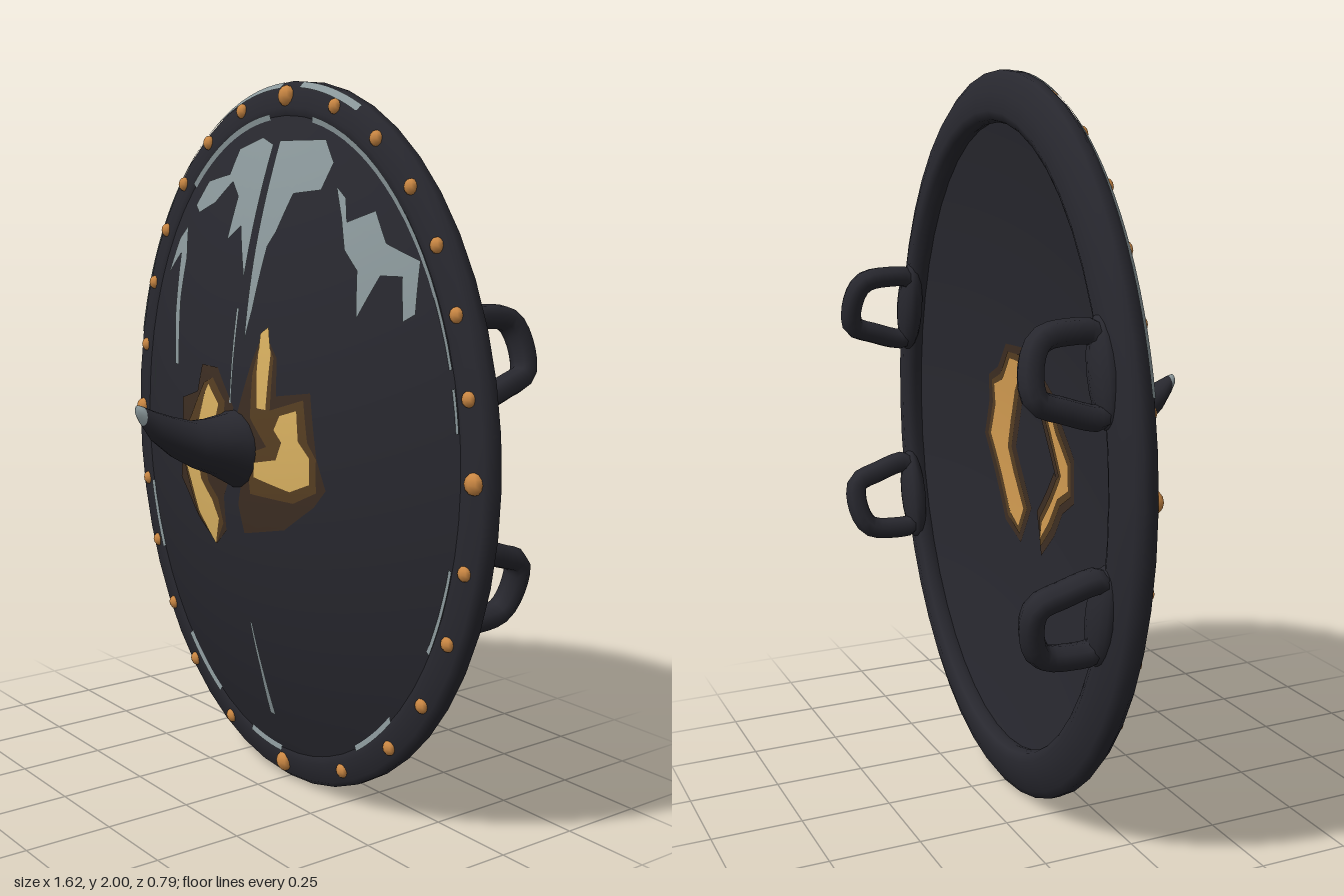
import * as THREE from 'three';
import { mergeVertices } from 'three/addons/utils/BufferGeometryUtils.js';
import { ParametricGeometry } from 'three/addons/geometries/ParametricGeometry.js';

const mat = (name, color, side = THREE.FrontSide) =>
  Object.assign(new THREE.MeshStandardMaterial({ color, side }), { name });

export function createModel() {
  const group = new THREE.Group();
  const iron = mat('dark iron', 0x28282f);
  const sheen = mat('pale steel', 0x8a979a, THREE.DoubleSide);
  const gold = mat('gold', 0xd8b060, THREE.DoubleSide);
  const amber = mat('amber', 0xd09a50, THREE.DoubleSide);
  const umber = mat('umber', 0x563e22, THREE.DoubleSide);
  const soot = mat('dark brown', 0x3c2d22, THREE.DoubleSide);
  const bronze = mat('bronze', 0xca8743);

  const add = (name, geometry, material, parent = group) => {
    const mesh = new THREE.Mesh(geometry, material);
    mesh.name = name;
    parent.add(mesh);
    return mesh;
  };
  // Smooth surface from a rule, welded along its seams
  const surface = (fn, nu, nv) => {
    const g = new ParametricGeometry(fn, nu, nv);
    g.deleteAttribute('normal');
    g.deleteAttribute('uv');
    const welded = mergeVertices(g, 1e-5);
    welded.computeVertexNormals();
    return welded;
  };

  // Domed front and hollow back
  const RX = 0.73, RY = 0.915;
  const r2 = (x, y) => (x / RX) ** 2 + ((y - 1) / RY) ** 2;
  const frontZ = (x, y) => 0.085 - 0.18 * r2(x, y);
  const backZ = (x, y) => -0.05 - 0.09 * r2(x, y);
  const disc = (zAt, back) => surface((u, v, p) => {
    const a = u * Math.PI * 2, r = back ? v : 1 - v;
    const x = RX * r * Math.cos(a), y = 1 + RY * r * Math.sin(a);
    p.set(x, y, zAt(x, y));
  }, 64, 16);
  add('shieldFace', disc(frontZ, false), iron);
  add('hollowBack', disc(backZ, true), iron);

  // Rim swept round the oval; each profile point is [inset, z]
  const band = (profile, a0, a1, nu) => surface((u, v, p) => {
    const a = THREE.MathUtils.degToRad(a0 + (a1 - a0) * u);
    const [d, z] = profile[Math.round(v * (profile.length - 1))];
    p.set((0.81 - d) * Math.cos(a), 1 + (1 - d) * Math.sin(a), z);
  }, nu, profile.length - 1);
  add('rim', band([[0, -0.12], [0.015, -0.1], [0.07, -0.09], [0.1, -0.093], [0.125, -0.12],
    [0.135, -0.15], [0.128, -0.172], [0.105, -0.182], [0.06, -0.175], [0.02, -0.16], [0, -0.145],
    [0, -0.12]], 0, 360, 48), iron);

  // Worn edges on the rim
  for (const [a0, a1] of [[92, 165], [68, 86]])
    add('rimEdgeWear', band([[0.002, -0.112], [0.018, -0.095]], a0, a1, 24), sheen);
  for (const [a0, a1] of [[18, 80], [8, 15], [95, 128], [228, 244], [258, 270], [298, 312], [330, 346], [194, 208]])
    add('rimInnerWear', band([[0.084, -0.085], [0.1, -0.088]], a0, a1, 16), sheen);

  // Thin painted patch: outline in hundredths, subdivided and laid on a surface
  const decal = (name, outline, material, zAt, lift) => {
    const shape = new THREE.Shape(outline.map(([x, y]) => new THREE.Vector2(x / 100, y / 100)));
    const flat = new THREE.ShapeGeometry(shape).toNonIndexed().getAttribute('position');
    const out = [];
    const split = (a, b, c, n) => {
      if (n === 0) {
        for (const p of [a, b, c]) out.push(p.x, p.y, zAt(p.x, p.y) + lift);
        return;
      }
      const ab = a.clone().lerp(b, 0.5), bc = b.clone().lerp(c, 0.5), ca = c.clone().lerp(a, 0.5);
      split(a, ab, ca, n - 1);
      split(ab, b, bc, n - 1);
      split(ca, bc, c, n - 1);
      split(ab, bc, ca, n - 1);
    };
    const at = i => new THREE.Vector3().fromBufferAttribute(flat, i);
    for (let i = 0; i < flat.count; i += 3) split(at(i), at(i + 1), at(i + 2), 3);
    const g = new THREE.BufferGeometry();
    g.setAttribute('position', new THREE.Float32BufferAttribute(out, 3));
    const welded = mergeVertices(g, 1e-5);
    welded.computeVertexNormals();
    add(name, welded, material);
  };

  // Pale worn streaks on the face
  [
    [[-39, 166], [-33, 173], [-20, 175], [-18, 182], [-7, 185], [-1, 183], [-1, 147], [-5, 156],
      [-7, 161], [-13, 157], [-12, 169], [-17, 173], [-25, 167], [-35, 164]],
    [[1.5, 184], [20, 184], [25, 178], [23, 171], [13, 170], [9.5, 160], [7, 156], [5, 139], [3, 130], [2, 155]],
    [[28, 172], [32, 169], [34, 163], [42, 166], [47, 158], [57, 154], [58, 141], [55, 139],
      [53, 150], [47, 150], [42, 139], [40, 151], [35, 156], [32, 164]],
    [[-54, 145], [-48, 156], [-42, 160], [-38, 151], [-38, 139], [-34, 120], [-37, 120], [-41, 134], [-44, 152]],
    [[1, 50], [2, 50], [2.5, 34], [2.5, 21], [0, 21], [1, 36]],
    [[-2.2, 139], [-1, 139], [-1, 113], [-1.8, 113]],
    [[-60.5, 118], [-59, 118], [-59, 110], [-60.5, 110]],
  ].forEach(o => decal('wornStreak', o, sheen, frontZ, 0.004));

  // Gold marks around the spike with two brown halos
  const leftMark = [[-29, 99], [-19, 104], [-15, 114], [-13, 117], [-7, 112], [-9, 106], [-16, 103], [-19, 97],
    [-17, 89], [-11, 84], [-8, 79], [-11, 71], [-20, 79], [-24, 87], [-29, 95]];
  const rightMark = [[18, 108], [20, 112], [26, 114], [27, 106], [31, 102], [31, 95], [24, 92], [10, 94],
    [10, 98], [19, 100], [21, 105]];
  const upperMark = [[10, 133], [13, 135], [15, 128], [14.5, 113], [11, 113], [10, 122]];
  const darkHalos = [
    [[-30, 111], [-20, 114], [-18, 122], [-9, 122], [0, 112], [0, 95], [-5, 86], [-5, 76], [-11, 71],
      [-21, 77], [-27, 83], [-32, 87], [-30, 95]],
    [[7, 125], [11, 134], [17, 127], [18, 117], [30, 119], [33, 102], [36, 94], [32, 89], [21, 81],
      [4, 77], [2, 85], [5, 95], [0, 105]],
  ];
  const midHalos = [
    [[-29, 100], [-23, 107], [-16, 117], [-11, 119], [-4, 113], [-5, 104], [-12, 101], [-15, 96],
      [-13, 89], [-8, 85], [-6, 78], [-11, 71], [-21, 78], [-26, 87], [-29, 93]],
    [[8, 122], [11, 134], [16, 127], [16, 113], [28, 117], [30, 106], [33, 102], [33, 93], [25, 89],
      [8, 89], [7, 100], [15, 103], [8, 110]],
  ];
  darkHalos.forEach(o => decal('markOuterHalo', o, soot, frontZ, 0.002));
  midHalos.forEach(o => decal('markInnerHalo', o, umber, frontZ, 0.004));
  [leftMark, rightMark, upperMark].forEach(o => decal('goldMark', o, gold, frontZ, 0.006));

  // Broken gold ring inside the hollow; halos are the same outlines grown outward
  const grow = (pts, d) => pts.map(([x, y], i) => {
    const [px, py] = pts.at(i - 1), [nx, ny] = pts[(i + 1) % pts.length];
    const l = Math.hypot(nx - px, ny - py);
    return [x - d * (ny - py) / l, y + d * (nx - px) / l];
  });
  const backArcs = [
    [[5, 79], [12, 88], [16, 95], [14, 103], [11, 112], [7, 118], [8, 121], [14, 121], [19, 114], [24, 112],
      [23.5, 106], [26.5, 97], [20, 87], [13.5, 76], [8, 73]],
    [[-6.5, 73], [-12, 79], [-17.5, 87], [-25, 91], [-24.5, 98], [-16, 105], [-11, 112], [-7, 117],
      [-8.5, 110], [-14, 102], [-19.5, 94], [-17.5, 91], [-13, 85], [-7, 78]],
  ];
  for (const arc of backArcs) {
    decal('backOuterHalo', grow(arc, 4.5), soot, backZ, -0.002);
    decal('backInnerHalo', grow(arc, 2), umber, backZ, -0.004);
    decal('backGoldArc', arc, amber, backZ, -0.006);
  }

  // Upturned spike: [z, y, half width, half height]
  const horn = rings => surface((u, v, p) => {
    const [z, y, rx, ry] = rings[Math.round(v * (rings.length - 1))];
    const a = u * Math.PI * 2;
    p.set(rx * Math.cos(a), y + ry * Math.sin(a), z);
  }, 16, rings.length - 1);
  add('spike', horn([[0.05, 1.0, 0.115, 0.125], [0.1, 1.005, 0.103, 0.1], [0.16, 1.018, 0.09, 0.078],
    [0.22, 1.03, 0.075, 0.065], [0.28, 1.055, 0.06, 0.056], [0.34, 1.09, 0.042, 0.042],
    [0.375, 1.122, 0.026, 0.026]]), iron);
  add('spikeTip', horn([[0.375, 1.122, 0.026, 0.026], [0.388, 1.135, 0.018, 0.017], [0.394, 1.14, 0, 0]]), sheen);

  // Bronze studs round the rim, larger at the four quarters
  const stud = new THREE.SphereGeometry(1, 8, 6);
  const placeStud = (x, y, r) => {
    const s = add('stud', stud, bronze);
    s.position.set(x, y, -0.096);
    s.scale.set(r, r, r * 0.75);
  };
  placeStud(0, 1.96, 0.029);
  placeStud(0, 0.05, 0.029);
  for (const side of [-1, 1]) {
    placeStud(side * 0.765, 1.01, 0.029);
    for (const [x, y] of [[0.21, 1.925], [0.38, 1.84], [0.515, 1.72], [0.615, 1.58], [0.69, 1.415], [0.74, 1.215],
      [0.74, 0.78], [0.685, 0.585], [0.593, 0.395], [0.468, 0.24], [0.27, 0.11]])
      placeStud(side * x, y, 0.021);
  }

  // Four strap loops on the back, each leaning along the rim; points are [height, z]
  const loop = [[0.09, -0.18], [0.1, -0.25], [0.085, -0.325], [0.03, -0.355], [-0.05, -0.352],
    [-0.078, -0.29], [-0.1, -0.18], [0, -0.175]];
  for (const side of [-1, 1]) for (const up of [-1, 1]) {
    const strap = new THREE.Group();
    strap.name = 'strapLoop';
    strap.position.set(side * 0.655, 1.004 + up * 0.298, 0);
    strap.rotation.z = side * up * 0.23;
    const path = new THREE.CatmullRomCurve3(loop.map(([h, z]) => new THREE.Vector3(0, up * h, z)), true);
    add('loop', new THREE.TubeGeometry(path, 28, 0.032, 8, true), iron, strap).scale.x = 1.15;
    const base = add('loopBase', new THREE.SphereGeometry(1, 14, 10), iron, strap);
    base.position.z = -0.172;
    base.scale.set(0.06, 0.14, 0.035);
    group.add(strap);
  }
  return group;
}
